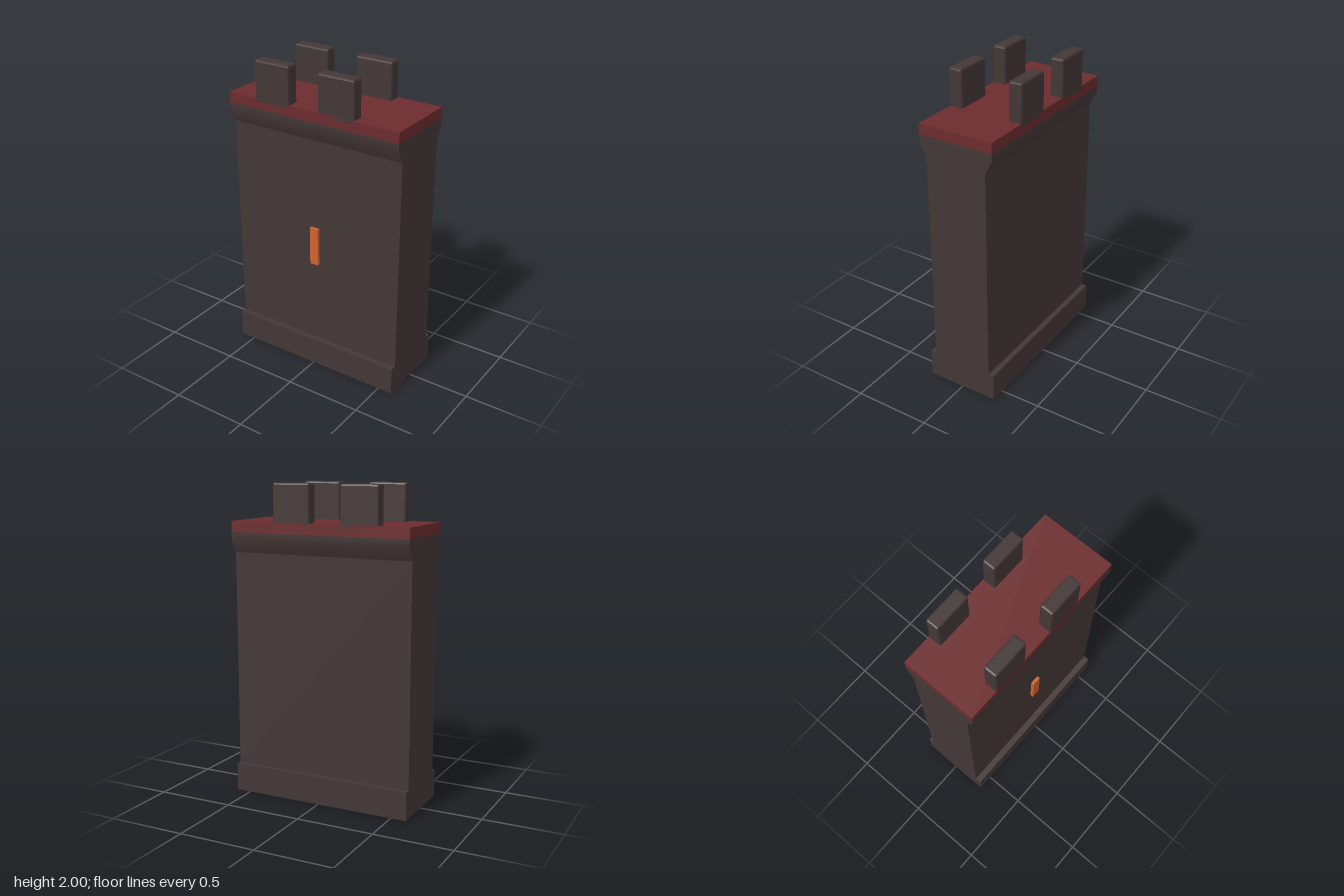
import * as THREE from 'three';
import { toCreasedNormals } from 'three/addons/utils/BufferGeometryUtils.js';
import { RoundedBoxGeometry } from 'three/addons/geometries/RoundedBoxGeometry.js';

const X0 = -0.6, X1 = 0.595;

export function createModel() {
  const group = new THREE.Group();
  group.name = 'castleWall';

  const material = (name, color) => {
    const m = new THREE.MeshStandardMaterial({ color });
    m.name = name;
    return m;
  };
  const stone = material('darkStone', 0x443737);
  const red = material('redWalkway', 0x6c2c2e);
  const orange = material('orangeGlow', 0xd0622f);

  const add = (name, geometry, mat) => {
    const mesh = new THREE.Mesh(geometry, mat);
    mesh.name = name;
    group.add(mesh);
    return mesh;
  };

  // Box given by its limits on each axis
  const box = (name, [x0, x1], [y0, y1], [z0, z1], mat) =>
    add(name, new THREE.BoxGeometry(x1 - x0, y1 - y0, z1 - z0)
      .translate((x0 + x1) / 2, (y0 + y1) / 2, (z0 + z1) / 2), mat);

  // Plinth and main wall
  box('plinth', [X0, X1], [0, 0.18], [-0.236, 0.24], stone);
  box('wallBody', [X0, X1], [0.18, 1.565], [-0.2, 0.2], stone);

  // Flared corbel under the walkway, softly shaded where the slope turns upright
  const profile = new THREE.Shape([
    [-0.2, 1.565], [0.2, 1.565], [0.245, 1.65], [0.245, 1.695],
    [-0.245, 1.695], [-0.245, 1.65],
  ].map(([z, y]) => new THREE.Vector2(-z, y)));
  const corbel = new THREE.ExtrudeGeometry(profile, { depth: X1 - X0, bevelEnabled: false })
    .rotateY(Math.PI / 2).translate(X0, 0, 0);
  add('corbel', toCreasedNormals(corbel, 0.6), stone);

  // Walkway slab
  box('walkway', [X0, X1], [1.695, 1.762], [-0.245, 0.245], red);

  // Four chamfered battlements, sunk slightly into the slab
  const merlon = toCreasedNormals(new RoundedBoxGeometry(0.248, 0.27, 0.086, 1, 0.012), 0.1);
  for (const z of [-0.202, 0.202]) {
    for (const x of [-0.279, 0.174]) {
      add('battlement', merlon, stone).position.set(x, 1.865, z);
    }
  }

  // Narrow glowing slit on the front
  box('arrowSlit', [-0.031, 0.028], [0.735, 0.985], [0.19, 0.22], orange);

  return group;
}
